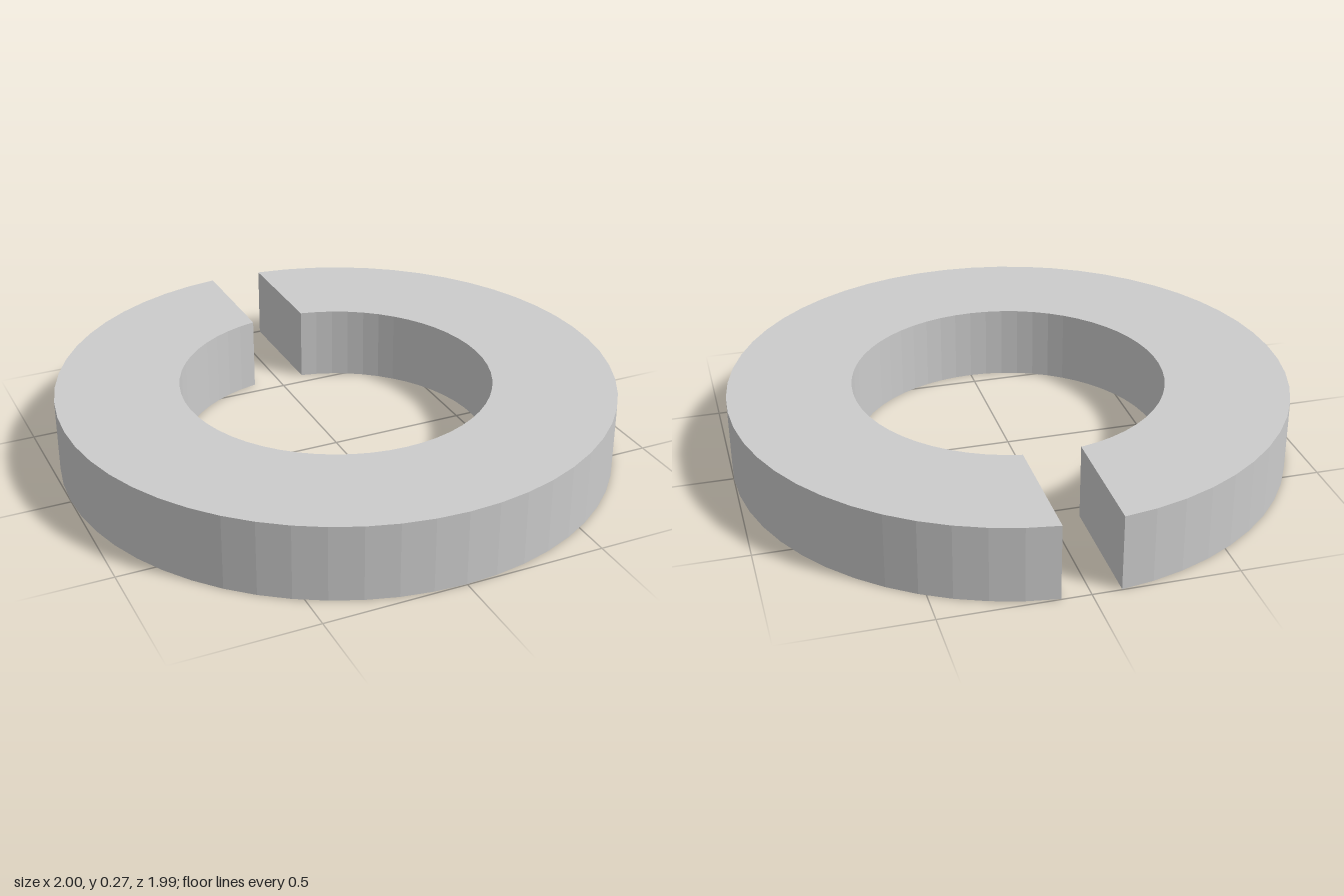
import * as THREE from 'three';

const OUTER = 1, INNER = 0.56, HEIGHT = 0.27, HALF_GAP = 0.1;

export function createModel() {
  const group = new THREE.Group();
  group.name = 'splitWasher';

  // C-shaped outline: two arcs joined by the parallel walls of the slot
  const outerGap = Math.asin(HALF_GAP / OUTER);
  const innerGap = Math.asin(HALF_GAP / INNER);
  const up = Math.PI / 2;
  const outline = new THREE.Shape();
  outline.absarc(0, 0, OUTER, up + outerGap, up - outerGap + 2 * Math.PI, false);
  outline.absarc(0, 0, INNER, up - innerGap + 2 * Math.PI, up + innerGap, true);
  outline.closePath();

  // Extrude upward and lay flat, with the slot at the back
  const geometry = new THREE.ExtrudeGeometry(outline, {
    depth: HEIGHT, bevelEnabled: false, curveSegments: 27,
  });
  geometry.rotateX(-Math.PI / 2);
  geometry.translate(0, 0, -0.0025);

  const ring = new THREE.Mesh(
    geometry,
    new THREE.MeshStandardMaterial({ color: 0xcccccc, flatShading: true }),
  );
  ring.name = 'slottedRing';
  group.add(ring);
  return group;
}
